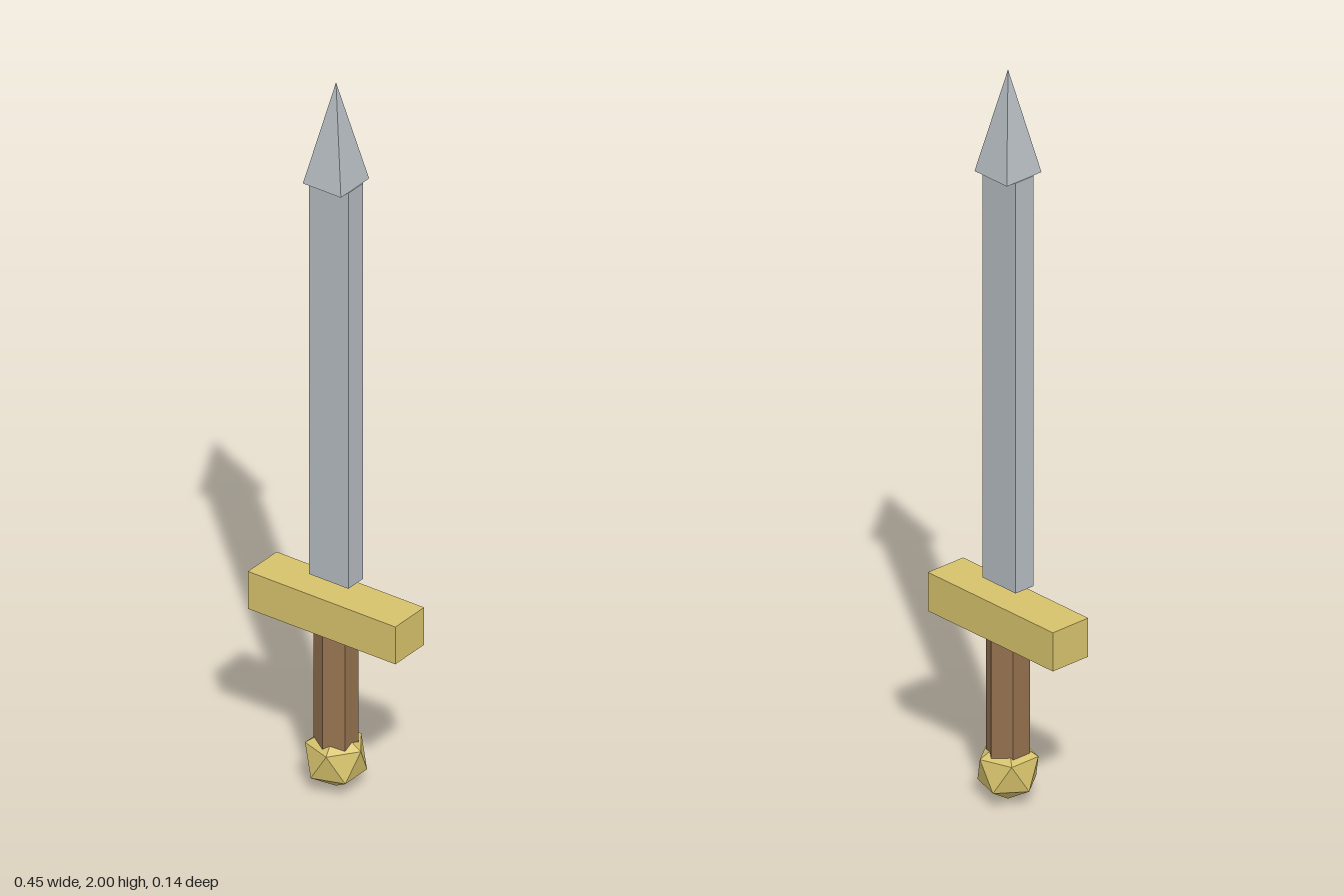
import * as THREE from 'three';

export function createModel() {
  const model = new THREE.Group();
  const mat = (color) => new THREE.MeshStandardMaterial({ color, flatShading: true });
  const steel = mat(0xb4bac0);
  const gold = mat(0xd6c26c);
  const wood = mat(0x94714f);

  const add = (name, geometry, material, y) => {
    const mesh = new THREE.Mesh(geometry, material);
    mesh.name = name;
    mesh.position.y = y;
    model.add(mesh);
  };

  // Pommel: icosahedron standing on one corner
  const pommelRadius = 0.085;
  const pommel = new THREE.IcosahedronGeometry(pommelRadius, 0)
    .rotateZ(-Math.atan(2 / (1 + Math.sqrt(5))));
  add('pommel', pommel, gold, pommelRadius);

  // Grip: hexagonal prism with a corner towards the front
  add('grip', new THREE.CylinderGeometry(0.056, 0.056, 0.36, 6), wood, 0.28);

  // Crossguard
  add('crossguard', new THREE.BoxGeometry(0.45, 0.106, 0.118), gold, 0.505);

  // Blade: flat bar floating just above the guard
  add('blade', new THREE.BoxGeometry(0.12, 1.125, 0.06), steel, 1.1575);

  // Tip: square pyramid, deeper than the blade
  const tip = new THREE.ConeGeometry(0.058 * Math.SQRT2, 0.28, 4).rotateY(Math.PI / 4);
  add('bladeTip', tip, steel, 1.86);

  return model;
}
